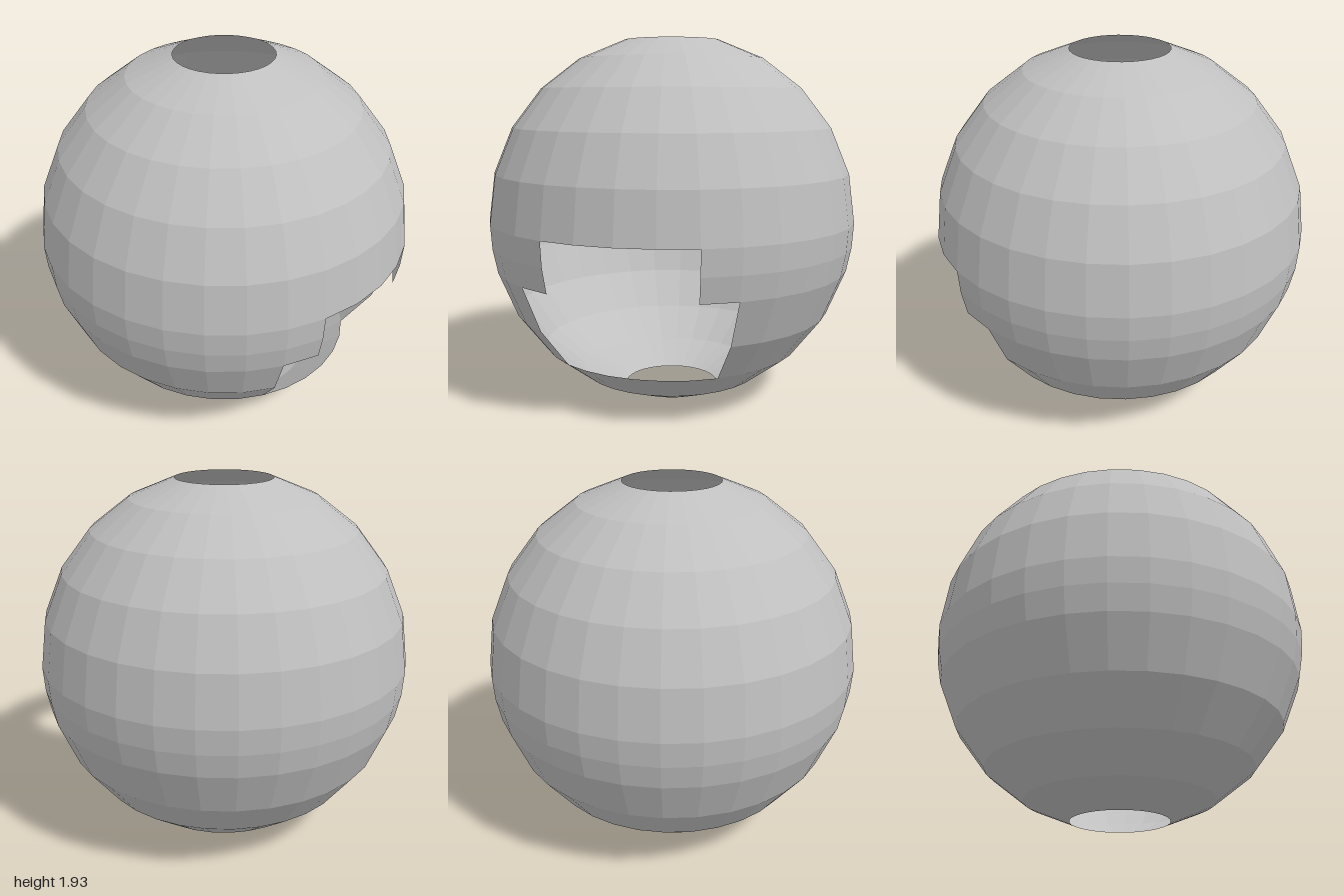
import * as THREE from 'three';

const STEP = Math.PI / 16;   // 32 segments around
const RING = Math.PI / 12;   // 12 rings from pole to pole, both caps left open
const CENTRE_Y = Math.cos(RING);

export function createModel() {
  const group = new THREE.Group();
  const grey = new THREE.MeshStandardMaterial({ color: 0xc0c0c0, flatShading: true, side: THREE.DoubleSide });
  grey.name = 'shell grey';

  // A band of the shell between two rings, with a gap of 2 * halfGap segments at the front
  function addBand(name, firstRing, lastRing, halfGap) {
    const segments = 32 - 2 * halfGap;
    const rings = lastRing - firstRing;
    const geometry = new THREE.SphereGeometry(
      1, segments, rings,
      Math.PI / 2 + halfGap * STEP, segments * STEP,
      firstRing * RING, rings * RING
    );
    const mesh = new THREE.Mesh(geometry, grey);
    mesh.name = name;
    mesh.position.y = CENTRE_Y;
    group.add(mesh);
  }

  addBand('upperDome', 1, 6, 0);
  addBand('narrowOpeningBand', 6, 7, 2);
  addBand('wideOpeningBand', 7, 9, 3);
  addBand('lowerBowl', 9, 11, 0);

  return group;
}
